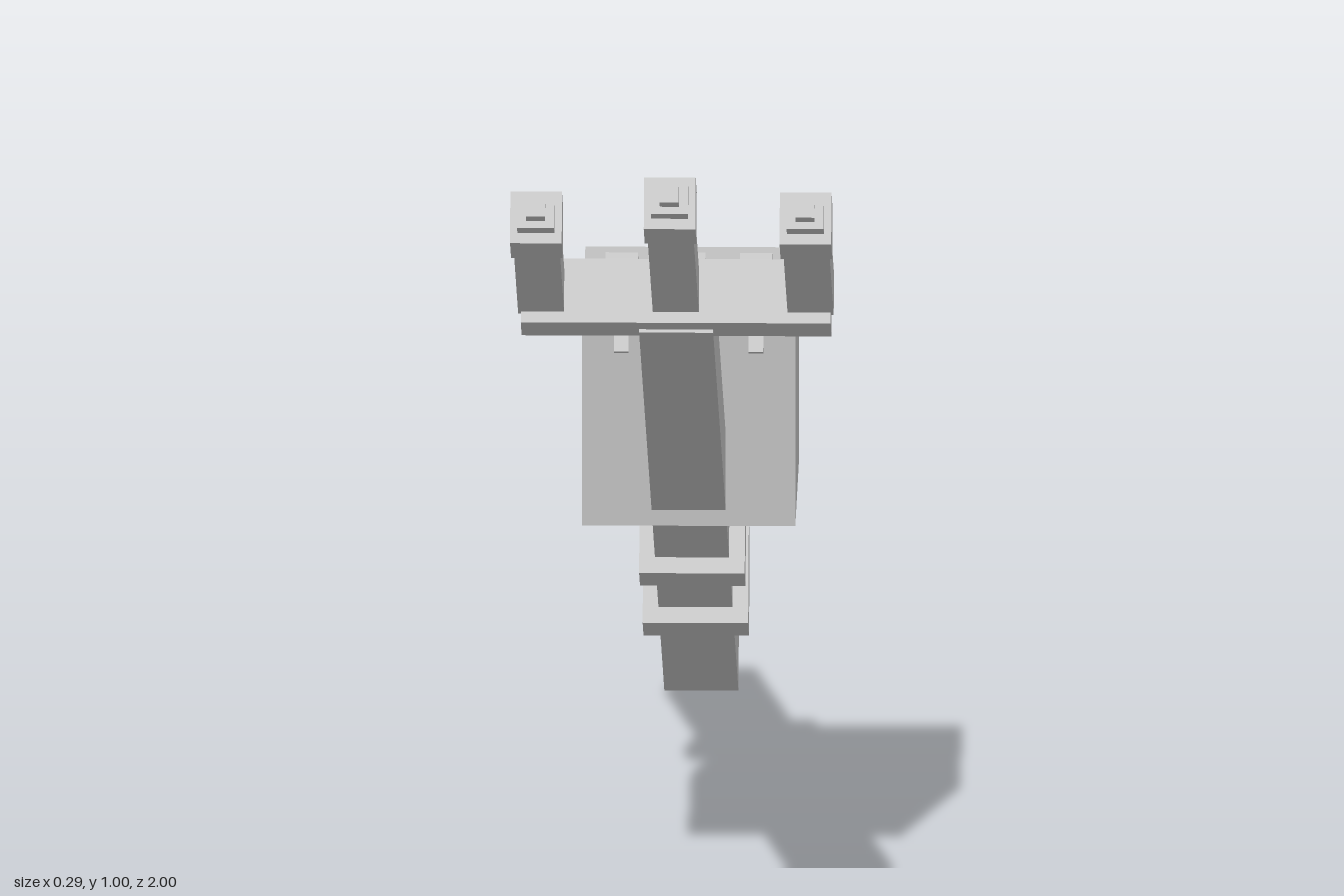
import * as THREE from 'three';

const grey = new THREE.MeshStandardMaterial({ color: 0xc0c0c0 });
grey.name = 'plain grey';

// Box that runs along local z from z0 to z1
function bar(parent, name, w, h, z0, z1, x = 0) {
  const mesh = new THREE.Mesh(new THREE.BoxGeometry(w, h, z1 - z0), grey);
  mesh.position.set(x, 0, (z0 + z1) / 2);
  mesh.name = name;
  parent.add(mesh);
  return mesh;
}

export function createModel() {
  const model = new THREE.Group();
  model.name = 'robotArm';

  // Sloping arm, with its origin at the crossbar
  const arm = new THREE.Group();
  arm.name = 'arm';
  arm.position.set(0, 0.783, 0.555);
  arm.rotation.x = THREE.MathUtils.degToRad(-26);
  model.add(arm);
  bar(arm, 'pole', 0.066, 0.064, -1.716, 0);
  bar(arm, 'crossbar', 0.276, 0.058, -0.031, 0.031);
  for (const z of [-1.107, -1.345]) bar(arm, 'clamp', 0.094, 0.093, z - 0.03, z + 0.03);

  // Three prongs with stepped tips; the middle one is longer
  for (const x of [-0.12, 0, 0.12]) {
    const prong = new THREE.Group();
    prong.name = 'prong';
    prong.position.x = x;
    const end = x === 0 ? 0.451 : 0.381;
    bar(prong, 'prongShaft', 0.041, 0.038, 0.02, end - 0.06);
    bar(prong, 'prongCap', 0.046, 0.047, end - 0.07, end);
    bar(prong, 'prongCollar', 0.033, 0.028, end, end + 0.023);
    bar(prong, 'prongTip', 0.017, 0.015, end + 0.023, end + 0.043);
    arm.add(prong);
  }

  // Control box resting on the pole
  const box = new THREE.Mesh(new THREE.BoxGeometry(0.19, 0.2, 0.21), grey);
  box.name = 'controlBox';
  box.position.set(0, 0.467, -0.3);
  model.add(box);

  // Tilted nozzles over the front top edge of the box
  for (const x of [-0.06, 0, 0.06]) {
    const nozzle = new THREE.Group();
    nozzle.name = 'nozzle';
    nozzle.position.set(x, 0.555, -0.207);
    nozzle.rotation.x = THREE.MathUtils.degToRad(65);
    bar(nozzle, 'nozzleBody', 0.029, 0.031, -0.057, 0);
    bar(nozzle, 'nozzleCollar', 0.022, 0.021, 0, 0.016);
    bar(nozzle, 'nozzleTip', 0.013, 0.012, 0.016, 0.031);
    model.add(nozzle);
  }
  return model;
}
